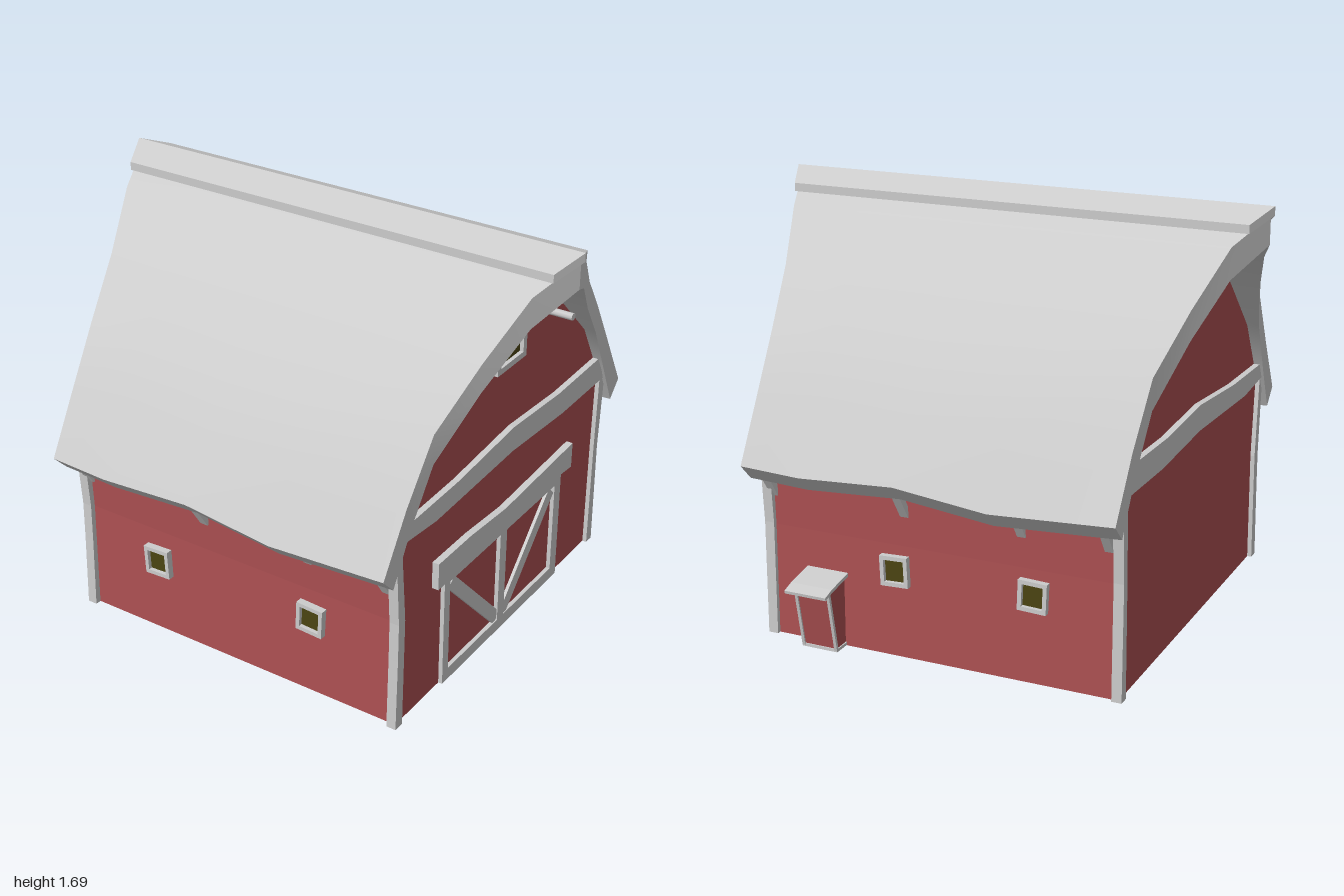
import * as THREE from 'three';
import { toCreasedNormals } from 'three/addons/utils/BufferGeometryUtils.js';

const paint = (color) => new THREE.MeshStandardMaterial({ color });
const grey = paint(0xcccccc), red = paint(0xac5052), glass = paint(0x4b4412);
const RIDGE_Z = 0.015;

function add(parent, name, geometry, material = grey) {
  const mesh = new THREE.Mesh(geometry, material);
  mesh.name = name;
  parent.add(mesh);
  return mesh;
}

// Extrudes a [z, y] outline along x from x0 to x1
function extrudeX(outline, x0, x1) {
  const shape = new THREE.Shape(outline.map(([z, y]) => new THREE.Vector2(-z, y)));
  return new THREE.ExtrudeGeometry(shape, { depth: x1 - x0, bevelEnabled: false })
    .rotateY(Math.PI / 2).translate(x0, 0, 0);
}

// Straight plank of given width between two [z, y] points
function plankX(a, b, width, x0, x1) {
  const dz = b[0] - a[0], dy = b[1] - a[1], k = width / 2 / Math.hypot(dz, dy);
  const nz = -dy * k, ny = dz * k;
  return extrudeX([[a[0] + nz, a[1] + ny], [b[0] + nz, b[1] + ny],
    [b[0] - nz, b[1] - ny], [a[0] - nz, a[1] - ny]], x0, x1);
}

// Sagging eave line: [fraction of half length, drop]
const sag = [[-1, 0], [-0.67, -0.01], [-0.15, 0.014], [0.35, -0.028], [1, 0]];

// Roof shell from half rows [z, outerY, innerZ, innerY, halfLength, sagWeight], ridge first
function roofShell(rows) {
  const n = rows.length, count = 2 * n - 1;
  const point = (k, inner, s) => {
    const side = k < n ? 1 : -1;
    const [z, y, iz, iy, half, weight] = rows[Math.abs(n - 1 - k)];
    // the far slope is the near slope turned half a revolution
    const drop = sag[side > 0 ? s : sag.length - 1 - s][1] * weight;
    const u = side > 0 ? sag[s][0] : -sag[sag.length - 1 - s][0];
    return [u * half, (inner ? iy : y) + drop, side * (inner ? iz : z) + RIDGE_Z];
  };
  const pos = [];
  const quad = (a, b, c, d) => pos.push(...a, ...b, ...c, ...a, ...c, ...d);
  for (let s = 0; s < sag.length - 1; s++) {
    for (let k = 0; k < count - 1; k++) {
      quad(point(k, 0, s), point(k, 0, s + 1), point(k + 1, 0, s + 1), point(k + 1, 0, s));
      quad(point(k, 1, s), point(k + 1, 1, s), point(k + 1, 1, s + 1), point(k, 1, s + 1));
    }
    const e = count - 1;
    quad(point(0, 1, s), point(0, 1, s + 1), point(0, 0, s + 1), point(0, 0, s));
    quad(point(e, 0, s), point(e, 0, s + 1), point(e, 1, s + 1), point(e, 1, s));
  }
  const last = sag.length - 1;
  for (let k = 0; k < count - 1; k++) {
    quad(point(k, 0, last), point(k, 1, last), point(k + 1, 1, last), point(k + 1, 0, last));
    quad(point(k, 0, 0), point(k + 1, 0, 0), point(k + 1, 1, 0), point(k, 1, 0));
  }
  const geometry = new THREE.BufferGeometry();
  geometry.setAttribute('position', new THREE.Float32BufferAttribute(pos, 3));
  return toCreasedNormals(geometry, 0.6);
}

// Framed window facing +z
function makeWindow(name, w, h, border) {
  const group = new THREE.Group();
  group.name = name;
  const rect = (a, b, Type) => new Type([[-a, -b], [a, -b], [a, b], [-a, b]]
    .map(([x, y]) => new THREE.Vector2(x, y)));
  const shape = rect(w / 2, h / 2, THREE.Shape);
  shape.holes.push(rect(w / 2 - border, h / 2 - border, THREE.Path));
  add(group, 'windowFrame', new THREE.ExtrudeGeometry(shape, { depth: 0.03, bevelEnabled: false }));
  add(group, 'windowPane', new THREE.BoxGeometry(w - border, h - border, 0.012), glass).position.z = 0.008;
  return group;
}

export function createModel() {
  const barn = new THREE.Group();
  barn.name = 'barn';

  // Walls with both gables
  add(barn, 'walls', extrudeX([[0.77, 0], [0.76, 0.45], [0.775, 0.81], [0.64, 1.08], [0.22, 1.48],
    [RIDGE_Z, 1.57], [-0.19, 1.48], [-0.61, 1.08], [-0.745, 0.81], [-0.735, 0.45], [-0.74, 0]], -0.72, 0.72), red);

  // Gambrel roof flaring out towards the ridge, and its cap
  add(barn, 'roof', roofShell([
    [0, 1.655, 0, 1.545, 0.985, 0],
    [0.2, 1.57, 0.2, 1.45, 0.905, 0],
    [0.4, 1.378, 0.4, 1.265, 0.83, 0],
    [0.61, 1.18, 0.61, 1.06, 0.77, 0],
    [0.76, 0.95, 0.73, 0.85, 0.757, 0.3],
    [0.895, 0.722, 0.83, 0.655, 0.752, 1],
  ]));
  add(barn, 'ridgeCap', roofShell([
    [0, 1.69, 0, 1.655, 1, 0],
    [0.125, 1.64, 0.125, 1.607, 0.945, 0],
  ]));

  // Bowed corner posts and wavy gable bands on both ends
  const frontPost = [[0.795, 0], [0.785, 0.3], [0.782, 0.46], [0.805, 0.81], [0.77, 0.81], [0.74, 0.46], [0.75, 0]];
  const backPost = [[-0.757, 0], [-0.752, 0.46], [-0.775, 0.81], [-0.73, 0.8], [-0.72, 0.46], [-0.715, 0]];
  const band = [[0.74, 0.865], [0.4, 0.872], [0, 0.905], [-0.36, 0.885], [-0.7, 0.893],
    [-0.745, 0.785], [-0.4, 0.78], [0, 0.802], [0.55, 0.782], [0.775, 0.802]];
  for (const side of [1, -1]) {
    const span = (a, b) => side > 0 ? [a, b] : [-b, -a];
    add(barn, 'frontCornerPost', extrudeX(frontPost, ...span(0.698, 0.738)));
    add(barn, 'backCornerPost', extrudeX(backPost, ...span(0.698, 0.738)));
    add(barn, 'gableBand', extrudeX(band, ...span(0.71, 0.745)));
  }

  // Double barn door on the right-hand gable
  const door = new THREE.Group();
  door.name = 'barnDoor';
  barn.add(door);
  const rails = [
    [[0.445, 0], [0.445, 0.49], 0.04], [[-0.41, 0], [-0.41, 0.49], 0.05], [[0.025, 0.04], [0.025, 0.46], 0.05],
    [[0.44, 0.025], [-0.41, 0.025], 0.05], [[0.44, 0.468], [-0.41, 0.468], 0.04],
    [[0.41, 0.435], [0.05, 0.06], 0.055], [[-0.365, 0.435], [0, 0.06], 0.055],
  ];
  rails.forEach(([a, b, w], i) =>
    add(door, i < 5 ? 'doorRail' : 'doorBrace', plankX(a, b, w, 0.715, i < 5 ? 0.737 : 0.733)));
  add(door, 'doorHeader', extrudeX([[0.53, 0.585], [0.3, 0.585], [0.04, 0.568], [-0.5, 0.595],
    [-0.5, 0.485], [-0.37, 0.495], [0.04, 0.472], [0.53, 0.472]], 0.715, 0.748));

  // Windows: [x, y, z, tilt, turn]
  const smallWindows = [[-0.37, 0.32, 0.76, 0.05, 0], [0.35, 0.333, 0.76, -0.05, 0],
    [0.18, 0.35, -0.73, 0.04, Math.PI], [-0.385, 0.35, -0.73, -0.04, Math.PI]];
  for (const [x, y, z, tilt, turn] of smallWindows) {
    const pane = makeWindow('sideWindow', 0.115, 0.12, 0.016);
    pane.position.set(x, y, z);
    pane.rotation.set(0, turn, tilt);
    barn.add(pane);
  }
  const loft = makeWindow('loftWindow', 0.212, 0.15, 0.024);
  loft.position.set(0.71, 1.25, 0.028);
  loft.rotation.y = Math.PI / 2;
  barn.add(loft);

  // Hoist rod beside the loft window
  add(barn, 'hoistRod', new THREE.CylinderGeometry(0.015, 0.015, 0.2, 8).rotateZ(Math.PI / 2))
    .position.set(0.8, 1.357, -0.125);

  // Slanted eave brackets, the back row being the front row turned around
  for (const x of [-0.7, -0.14, 0.335, 0.675]) {
    for (const side of [1, -1]) {
      const z = (v) => side * v + RIDGE_Z;
      add(barn, 'eaveBracket', plankX([z(0.745), 0.575], [z(0.825), 0.7], 0.025,
        side * x - 0.017, side * x + 0.017));
    }
  }

  // Lidded feed bin at the back wall
  const bin = new THREE.Group();
  bin.name = 'feedBin';
  barn.add(bin);
  add(bin, 'binBody', extrudeX([[-0.73, 0.012], [-0.81, 0.012], [-0.86, 0.27], [-0.73, 0.292]], 0.405, 0.545), red);
  add(bin, 'binBase', extrudeX([[-0.73, 0.002], [-0.815, 0.002], [-0.815, 0.014], [-0.73, 0.014]], 0.4, 0.55));
  add(bin, 'binLid', extrudeX([[-0.73, 0.302], [-0.86, 0.28], [-0.91, 0.265], [-0.908, 0.253],
    [-0.86, 0.266], [-0.73, 0.288]], 0.388, 0.564));
  for (const x of [0.4, 0.54])
    add(bin, 'binTrim', plankX([-0.81, 0.008], [-0.86, 0.268], 0.012, x, x + 0.012));

  return barn;
}
